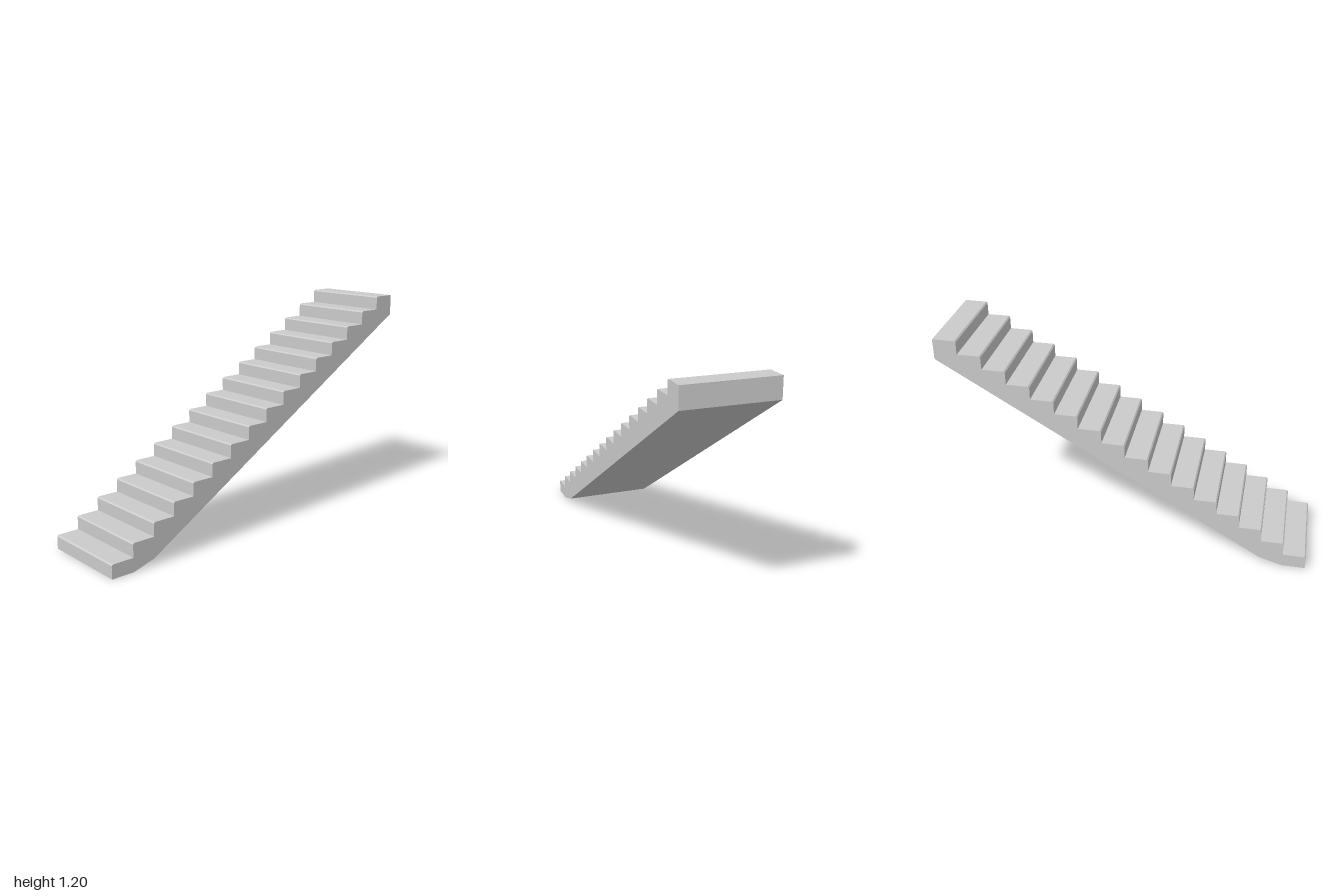
import * as THREE from 'three';

const STEPS = 16, WIDTH = 0.5, LENGTH = 2, HEIGHT = 1.2;
const RUN = LENGTH / STEPS, RISE = HEIGHT / STEPS;
const BEVEL = 0.007;

// Side outline of the flight; the first axis runs from the front to the back
function flightProfile() {
  const shape = new THREE.Shape();
  shape.moveTo(-1, 0);

  // Sloped underside with a short easing facet at the foot
  shape.lineTo(-1 + RUN, 0);
  shape.lineTo(-1 + 2 * RUN, RISE / 2);
  shape.lineTo(1, HEIGHT - 1.5 * RISE);

  // Treads and risers, from the top step down, each with a bevelled nosing
  for (let i = STEPS - 1; i >= 0; i--) {
    const front = -1 + i * RUN, top = (i + 1) * RISE;
    shape.lineTo(front + RUN, top);
    shape.lineTo(front + BEVEL, top);
    shape.lineTo(front, top - BEVEL);
  }
  shape.closePath();
  return shape;
}

export function createModel() {
  const group = new THREE.Group();
  group.name = 'staircase';

  const geometry = new THREE.ExtrudeGeometry(flightProfile(), { depth: WIDTH, bevelEnabled: false });
  geometry.translate(0, 0, -WIDTH / 2);
  geometry.rotateY(Math.PI / 2);

  const material = new THREE.MeshStandardMaterial({ color: 0xcccccc, flatShading: true });
  const flight = new THREE.Mesh(geometry, material);
  flight.name = 'stairFlight';
  group.add(flight);
  return group;
}
